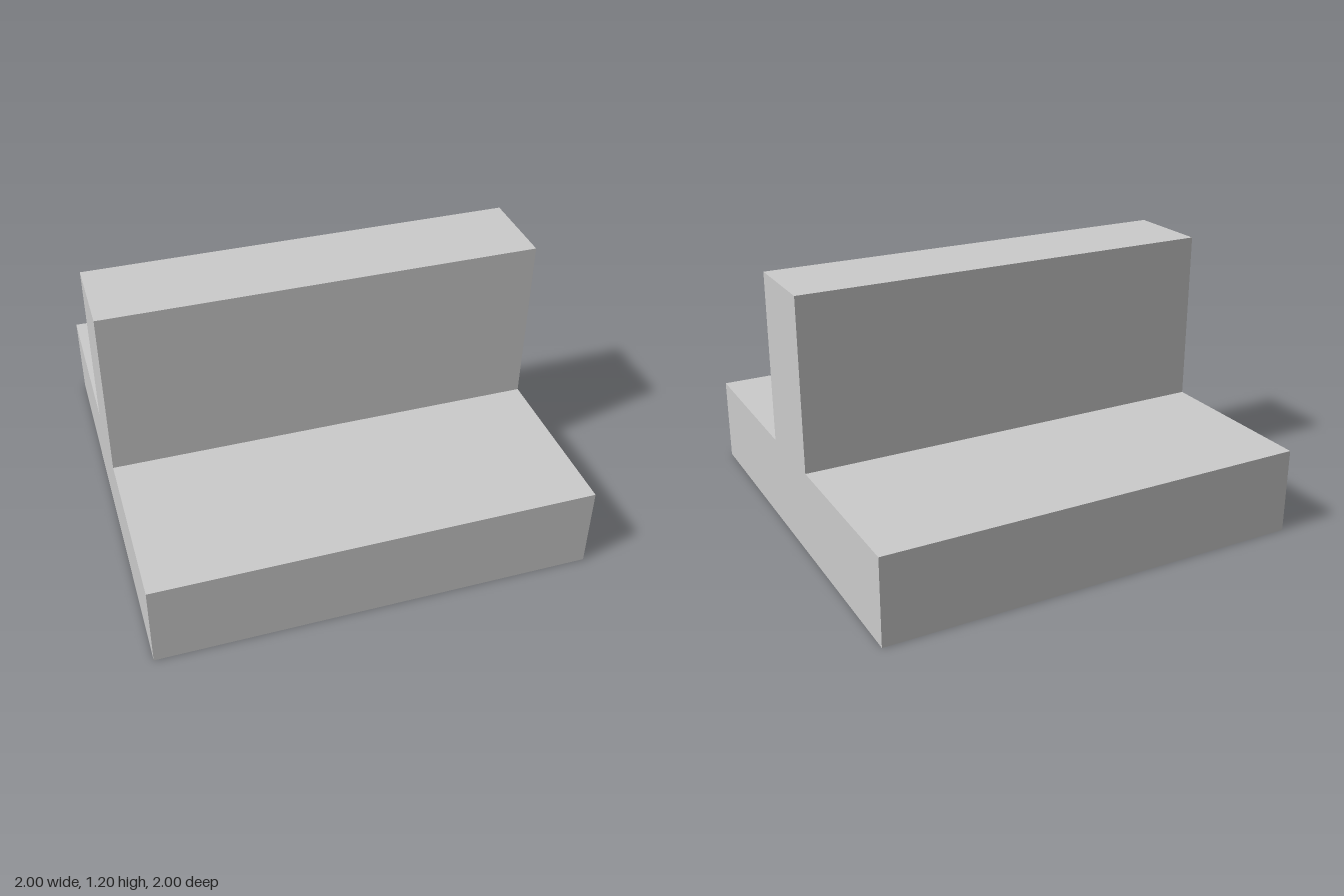
import * as THREE from 'three';

const LENGTH = 2;
const BASE_HALF = 1, BASE_HEIGHT = 0.4;
const WEB_HALF = 0.2, TOTAL_HEIGHT = 1.2;

export function createModel() {
  const group = new THREE.Group();
  group.name = 'teeBlock';

  // Inverted T section: wide base flange with a central upright web
  const section = new THREE.Shape([
    [-BASE_HALF, 0], [BASE_HALF, 0],
    [BASE_HALF, BASE_HEIGHT], [WEB_HALF, BASE_HEIGHT],
    [WEB_HALF, TOTAL_HEIGHT], [-WEB_HALF, TOTAL_HEIGHT],
    [-WEB_HALF, BASE_HEIGHT], [-BASE_HALF, BASE_HEIGHT],
  ].map(([z, y]) => new THREE.Vector2(z, y)));

  // Extruded, centred and turned so its length runs along x
  const geometry = new THREE.ExtrudeGeometry(section, { depth: LENGTH, bevelEnabled: false });
  geometry.translate(0, 0, -LENGTH / 2).rotateY(Math.PI / 2);

  const material = new THREE.MeshStandardMaterial({ color: 0xcccccc, flatShading: true });
  const block = new THREE.Mesh(geometry, material);
  block.name = 'baseAndWeb';
  group.add(block);
  return group;
}
